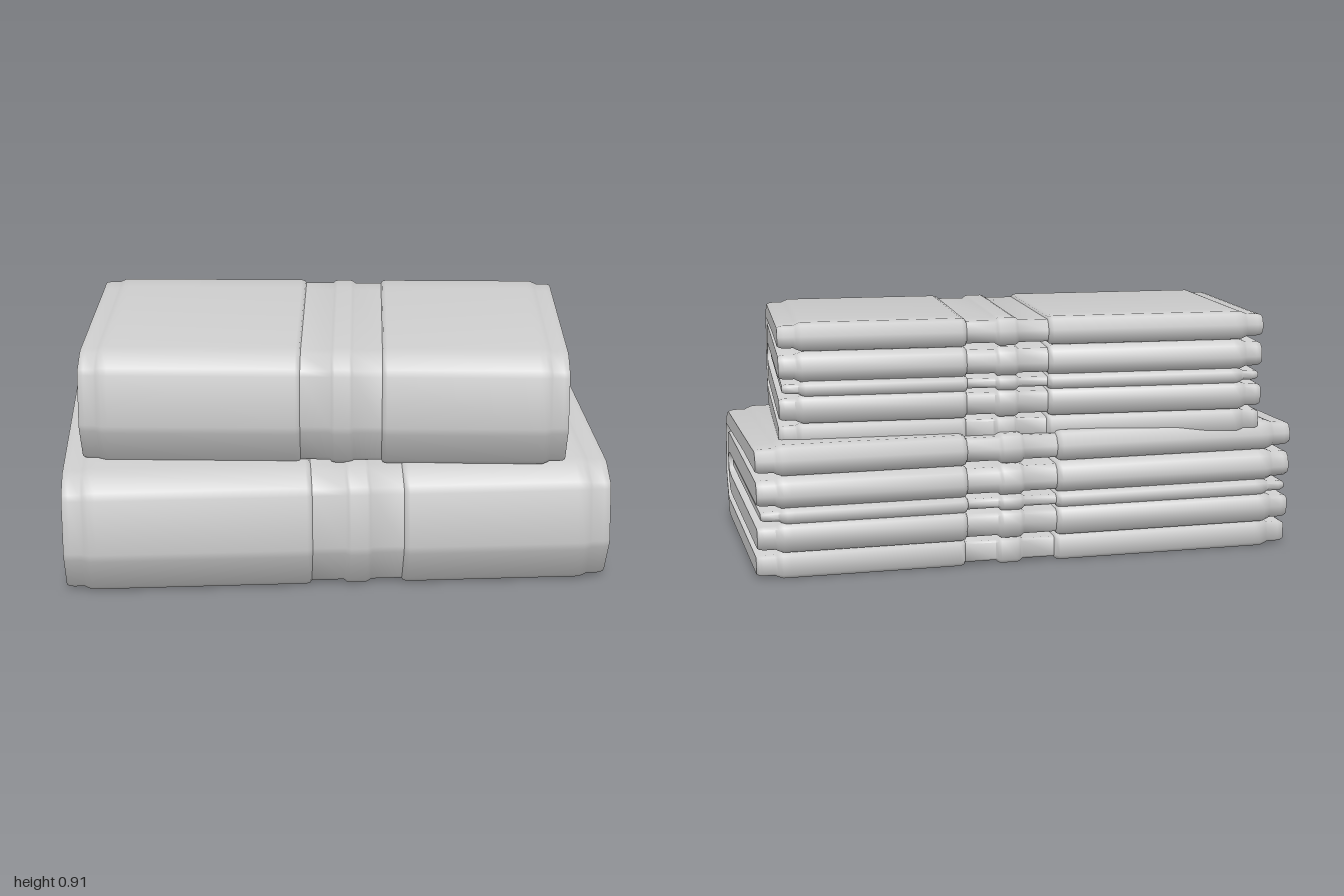
import * as THREE from 'three';
import { toCreasedNormals } from 'three/addons/utils/BufferGeometryUtils.js';

const material = new THREE.MeshStandardMaterial({ color: 0xcccccc, side: THREE.DoubleSide });

// Stations along the width: [x, inset of the section], with thin hems and a woven band
const stations = [
  [-1, 0.019], [-0.99, 0.014], [-0.975, 0.012], [-0.935, 0.012], [-0.925, 0.007], [-0.905, 0], [-0.88, 0],
  [-0.115, 0], [-0.1, 0.004], [-0.095, 0.012], [0.025, 0.012], [0.035, 0.004], [0.045, 0.001],
  [0.105, 0.001], [0.115, 0.004], [0.125, 0.012], [0.24, 0.012], [0.245, 0.004], [0.26, 0],
  [0.88, 0], [0.905, 0], [0.925, 0.007], [0.935, 0.012], [0.975, 0.012], [0.99, 0.014], [1, 0.019],
];

// Sections as [z, y], anticlockwise
const outerSection = [
  [-0.45, 0], [0.43, 0], [0.455, 0.005], [0.475, 0.025], [0.54, 0.155], [0.547, 0.185],
  [0.518, 0.385], [0.505, 0.412], [0.42, 0.455], [0.39, 0.465], [-0.36, 0.485], [-0.46, 0.489],
  [-0.485, 0.48], [-0.508, 0.44], [-0.5, 0.4], [-0.475, 0.38],
  [0.44, 0.38], [0.465, 0.37], [0.478, 0.345], [0.503, 0.2], [0.498, 0.175], [0.455, 0.105], [0.43, 0.1],
  [-0.45, 0.1], [-0.465, 0.085], [-0.465, 0.015],
];
const innerSection = [
  [-0.47, 0.1], [0.38, 0.1], [0.42, 0.108], [0.44, 0.125], [0.482, 0.195], [0.485, 0.22],
  [0.465, 0.345], [0.445, 0.37], [0.41, 0.378], [-0.47, 0.378],
  [-0.495, 0.355], [-0.508, 0.31], [-0.495, 0.275], [-0.47, 0.26],
  [0.4, 0.26], [0.425, 0.25], [0.43, 0.235], [0.425, 0.22], [0.4, 0.21], [-0.47, 0.21],
  [-0.495, 0.195], [-0.5, 0.155], [-0.49, 0.115],
];
const coreSection = [
  [-0.475, 0.204], [0.4, 0.204], [0.425, 0.215], [0.425, 0.255], [0.4, 0.266], [-0.475, 0.266],
  [-0.495, 0.25], [-0.495, 0.22],
];

// Moves each corner inwards by d
function insetSection(section, d) {
  const n = section.length;
  const normal = (a, b) => new THREE.Vector2(a[1] - b[1], b[0] - a[0]).normalize();
  return section.map((p, i) => {
    const n1 = normal(section[(i + n - 1) % n], p);
    const n2 = normal(p, section[(i + 1) % n]);
    const m = n1.clone().add(n2);
    m.multiplyScalar(d / Math.max(1 + n1.dot(n2), 0.6));
    return [p[0] + m.x, p[1] + m.y];
  });
}

// Lofts a section through the stations and closes both ends
function clothLayer(name, section, width = 1) {
  const n = section.length;
  const positions = [];
  const indices = [];
  for (const [x, inset] of stations) {
    for (const [z, y] of insetSection(section, inset)) positions.push(x * width, y, z);
  }
  for (let i = 0; i < stations.length - 1; i++) {
    for (let j = 0; j < n; j++) {
      const a = i * n + j, b = i * n + (j + 1) % n;
      indices.push(a, a + n, b, b, a + n, b + n);
    }
  }
  const last = (stations.length - 1) * n;
  const contour = section.map(([z, y]) => new THREE.Vector2(z, y));
  for (const [a, b, c] of THREE.ShapeUtils.triangulateShape(contour, [])) {
    indices.push(a, b, c, last + a, last + c, last + b);
  }
  const geometry = new THREE.BufferGeometry();
  geometry.setAttribute('position', new THREE.Float32BufferAttribute(positions, 3));
  geometry.setIndex(indices);
  const mesh = new THREE.Mesh(toCreasedNormals(geometry, 0.95), material);
  mesh.name = name;
  return mesh;
}

function foldedTowel(name) {
  const towel = new THREE.Group();
  towel.name = name;
  towel.add(
    clothLayer('outerFold', outerSection),
    clothLayer('innerFold', innerSection, 0.998),
    clothLayer('innerCore', coreSection, 0.985),
  );
  return towel;
}

export function createModel() {
  const model = new THREE.Group();
  model.name = 'towelStack';

  const lower = foldedTowel('lowerTowel');

  // Smaller towel laid slightly askew on top
  const upper = foldedTowel('upperTowel');
  upper.scale.set(0.885, 0.93, 0.885);
  upper.rotation.y = -0.078;
  upper.position.set(-0.015, 0.452, -0.03);

  model.add(lower, upper);
  return model;
}
